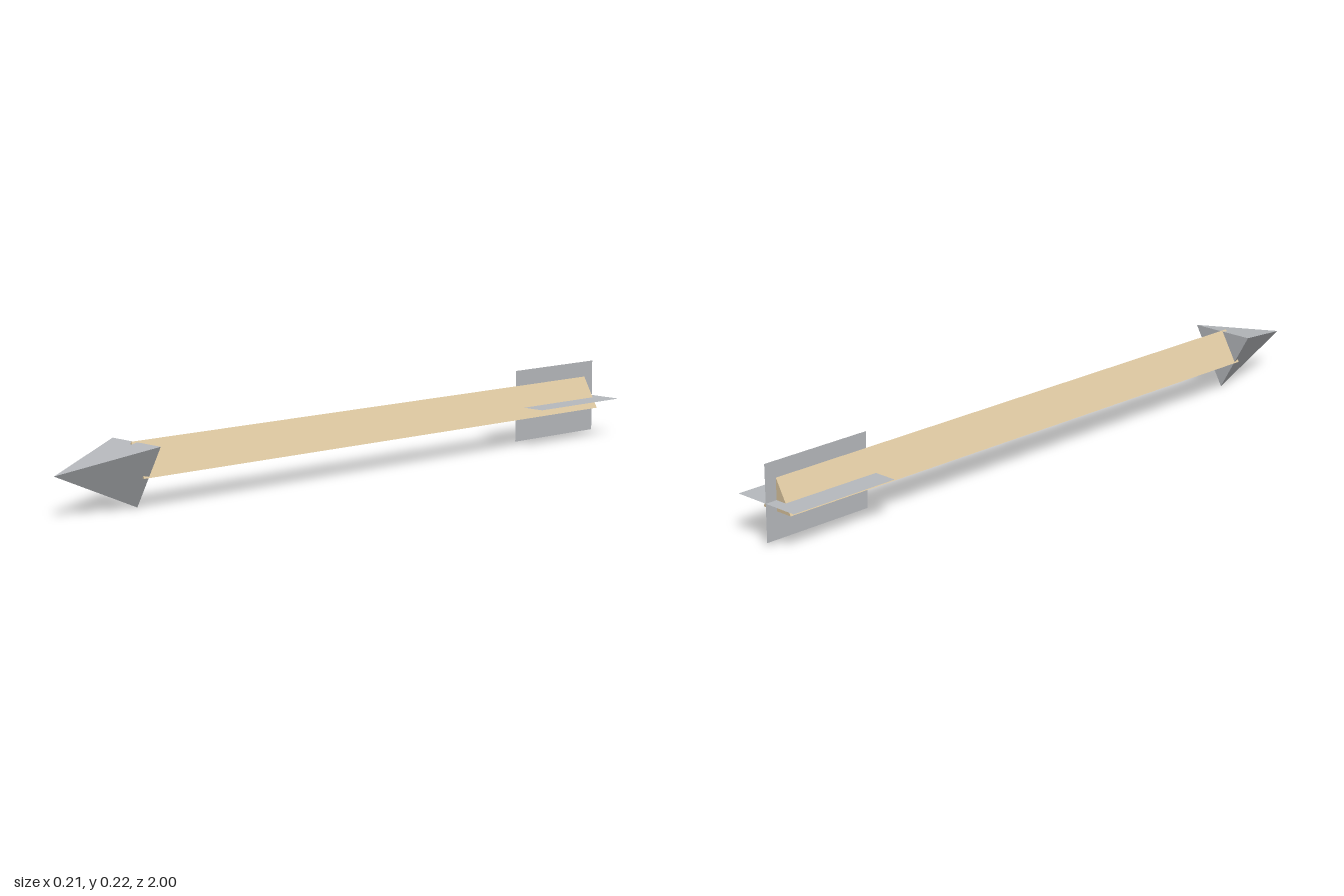
import * as THREE from 'three';

export function createModel() {
  const wood = new THREE.MeshStandardMaterial({ name: 'paleWood', color: 0xdcc7a0, flatShading: true });
  const metal = new THREE.MeshStandardMaterial({ name: 'greyMetal', color: 0xb6b9bd, flatShading: true });
  const feather = new THREE.MeshStandardMaterial({ name: 'greyFeather', color: 0xb6b9bd, side: THREE.DoubleSide });

  const arrow = new THREE.Group();
  arrow.name = 'arrow';
  const axisY = 0.1135;

  function add(name, geometry, material, z) {
    const mesh = new THREE.Mesh(geometry, material);
    mesh.name = name;
    mesh.position.set(0, axisY, z);
    arrow.add(mesh);
    return mesh;
  }

  // Three-sided bar along z, from z0 to z1
  function prism(frontRadius, backRadius, z0, z1, turn) {
    return new THREE.CylinderGeometry(frontRadius, backRadius, z1 - z0, 3, 1, false, turn)
      .rotateX(Math.PI / 2)
      .translate(0, 0, (z0 + z1) / 2);
  }

  // Shaft with its ridge upward
  add('shaft', prism(0.059, 0.059, -0.965, 0.757, Math.PI), wood, 0);

  // Pyramid head with its flat side upward
  const head = new THREE.ConeGeometry(0.112, 0.26, 3).rotateX(Math.PI / 2);
  add('arrowhead', head, metal, 0.87);

  // Two crossed paper-thin fins at the tail
  const fin = new THREE.PlaneGeometry(0.208, 0.335).rotateX(-Math.PI / 2);
  add('horizontalFin', fin, feather, -0.8325);
  add('verticalFin', fin, feather, -0.8325).rotation.z = Math.PI / 2;

  return arrow;
}
